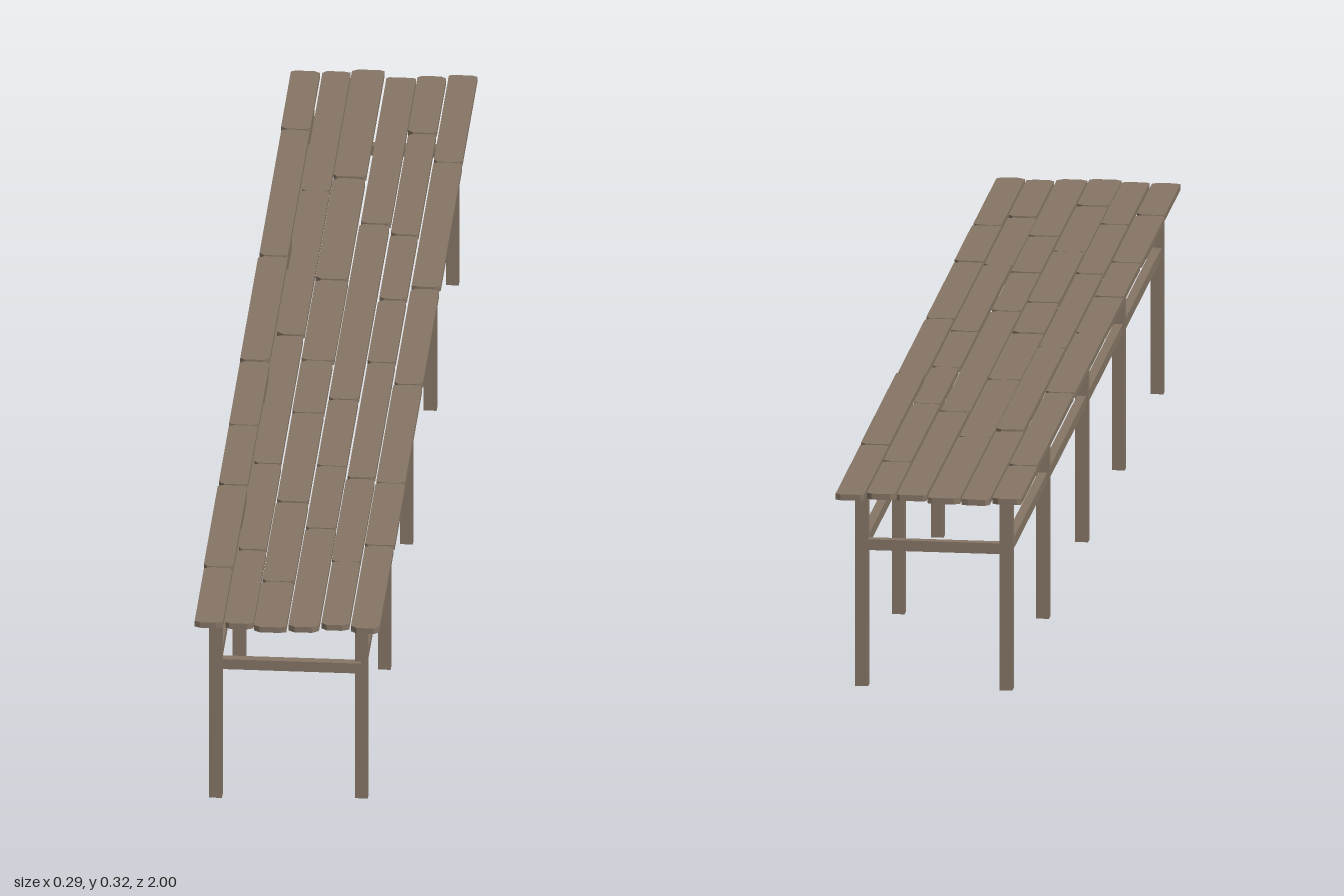
import * as THREE from 'three';

export function createModel() {
  const wood = new THREE.MeshStandardMaterial({ color: 0x857565 });
  wood.name = 'weathered wood';
  const table = new THREE.Group();
  table.name = 'longPlankTable';

  // Small seeded generator for the worn look of the boards
  let seed = 7;
  const rand = () => (seed = (seed * 16807) % 2147483647) / 2147483647;
  const range = (a, b) => a + (b - a) * rand();

  function add(parent, name, geometry, x = 0, y = 0, z = 0) {
    const mesh = new THREE.Mesh(geometry, wood);
    mesh.name = name;
    mesh.position.set(x, y, z);
    parent.add(mesh);
  }

  // One board lying flat, with chipped corners
  function plankGeometry(x0, x1, z0, z1, thickness) {
    const cut = () => [range(0.004, 0.011), range(0.003, 0.008)];
    const [a, b, c, d] = [cut(), cut(), cut(), cut()];
    const outline = [
      [x0 + a[0], z0], [x1 - b[0], z0], [x1, z0 + b[1]], [x1, z1 - c[1]],
      [x1 - c[0], z1], [x0 + d[0], z1], [x0, z1 - d[1]], [x0, z0 + a[1]],
    ].map(([x, z]) => new THREE.Vector2(x, -z));
    const geometry = new THREE.ExtrudeGeometry(new THREE.Shape(outline), { depth: thickness, bevelEnabled: false });
    return geometry.rotateX(-Math.PI / 2);
  }

  // Table top: six rows of boards, each row cut at its own joints
  const top = new THREE.Group();
  top.name = 'tableTop';
  const rows = [
    { x: [-0.146, -0.099], z: [-0.99, -0.78, -0.325, 0.05, 0.28, 0.495, 0.79, 0.99] },
    { x: [-0.098, -0.053], z: [-0.995, -0.565, -0.045, 0.415, 0.725, 0.99] },
    { x: [-0.052, 0.0], z: [-1, -0.615, -0.25, 0.04, 0.23, 0.55, 0.835, 1] },
    { x: [0.001, 0.049], z: [-0.98, -0.455, 0.175, 0.415, 0.64, 0.995] },
    { x: [0.05, 0.096], z: [-0.985, -0.78, -0.415, -0.185, 0.04, 0.455, 0.755, 0.985] },
    { x: [0.097, 0.144], z: [-0.993, -0.68, -0.23, 0.115, 0.47, 0.695, 0.993] },
  ];
  rows.forEach(({ x, z }) => {
    for (let i = 0; i < z.length - 1; i++) {
      const geometry = plankGeometry(
        x[0] + range(0, 0.002), x[1] - range(0, 0.002),
        z[i] + (i ? 0.002 : 0), z[i + 1] - (i < z.length - 2 ? 0.002 : 0), 0.0095);
      add(top, 'plank', geometry, 0, range(0.3105, 0.313), 0);
    }
  });
  table.add(top);

  // Legs, five along each side
  const legGeometry = new THREE.BoxGeometry(0.02, 0.312, 0.016);
  const sides = [
    { x: -0.115, front: 0.937 },
    { x: 0.11, front: 0.922 },
  ];
  const back = -0.92;
  for (const { x, front } of sides) {
    for (const z of [front, 0.46, 0.01, -0.47, back]) add(table, 'leg', legGeometry, x, 0.156, z);
    // Long rail joining the legs
    add(table, 'sideRail', new THREE.BoxGeometry(0.014, 0.017, front - back), x, 0.225, (front + back) / 2);
  }

  // Cross rails at both ends
  for (const z of [0.93, back]) add(table, 'crossRail', new THREE.BoxGeometry(0.225, 0.017, 0.014), -0.0025, 0.2255, z);

  return table;
}
